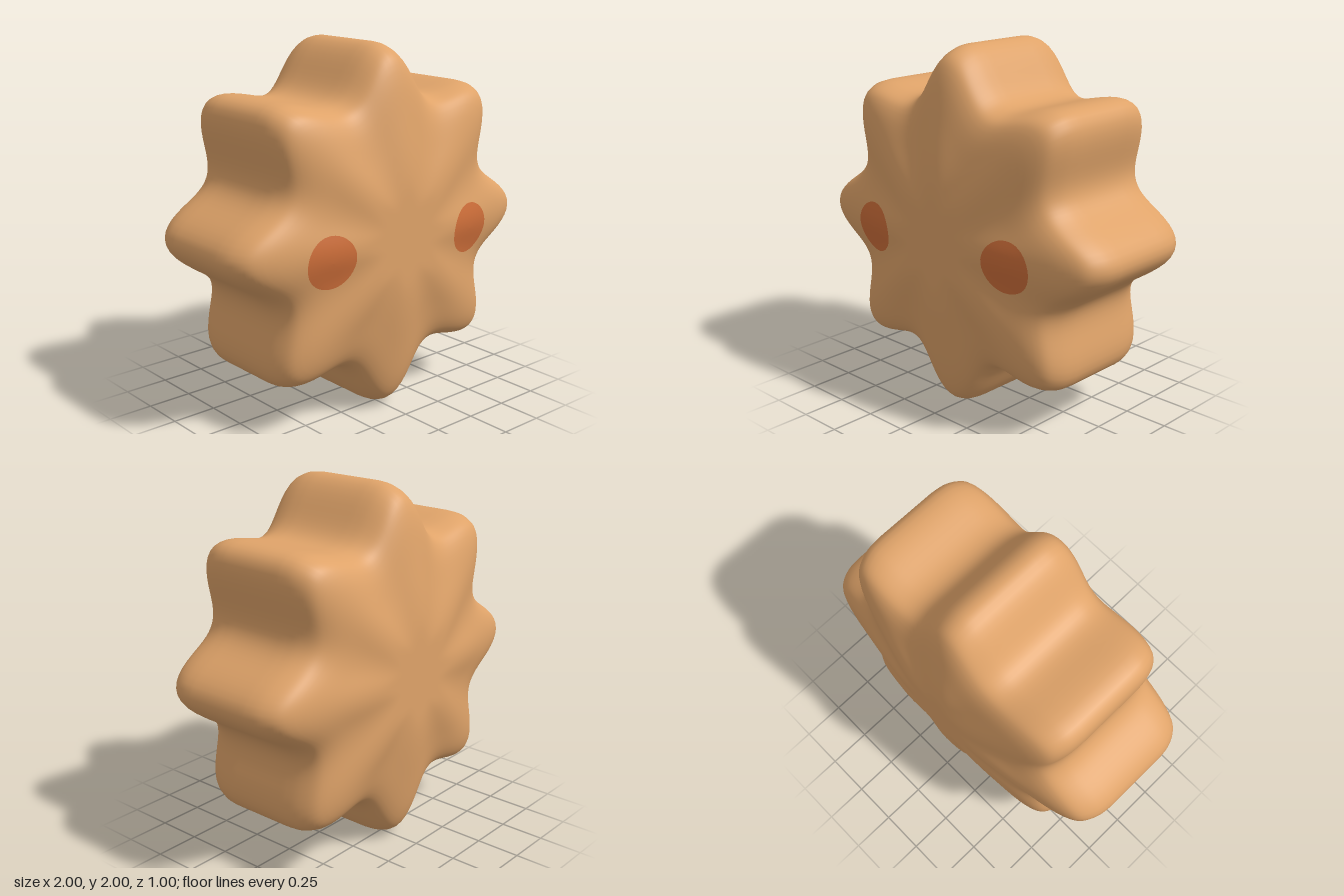
import * as THREE from 'three';

// Radius of the eight-pointed outline at an angle
const outline = (a) => 0.8775 + 0.1125 * Math.cos(8 * a) + 0.01 * Math.cos(16 * a);

// Front half of the section: x is the fraction of the outline, y is the depth
const section = new THREE.CatmullRomCurve3([
  [0, 0.5], [0.3, 0.498], [0.6, 0.457], [0.86, 0.402], [0.94, 0.358],
  [0.985, 0.28], [1, 0.18], [1, 0],
].map(([s, z]) => new THREE.Vector3(s, z, 0)), false, 'centripetal');
const half = section.getPoints(42).map((p) => [Math.min(p.x, 1), Math.min(p.y, 0.5)]);

// Depth of the front surface at a point measured from the centre
function frontDepth(x, y) {
  const s = Math.hypot(x, y) / outline(Math.atan2(y, x));
  for (let i = 1; i < half.length; i++) {
    const [s0, z0] = half[i - 1], [s1, z1] = half[i];
    if (s <= s1) return z0 + (z1 - z0) * (s - s0) / (s1 - s0 || 1);
  }
  return 0;
}

function makeGeometry(positions, index) {
  const g = new THREE.BufferGeometry();
  g.setAttribute('position', new THREE.Float32BufferAttribute(positions, 3));
  g.setIndex(index);
  g.computeVertexNormals();
  return g;
}

// Puffy star: rings of the outline swept from front centre to back centre
function starGeometry() {
  const back = half.slice(0, -1).reverse().map(([s, z]) => [s, -z]);
  const rings = [...half, ...back];
  const n = 192, positions = [], index = [];
  rings.forEach(([s, z], j) => {
    for (let i = 0; i < n; i++) {
      const a = (i / n) * Math.PI * 2, r = s * outline(a);
      positions.push(r * Math.cos(a), 1 + r * Math.sin(a), z);
      if (j === rings.length - 1) continue;
      const k = (i + 1) % n;
      const p = j * n + i, q = j * n + k;
      index.push(p, p + n, q + n, p, q + n, q);
    }
  });
  return makeGeometry(positions, index);
}

// Round patch that follows the front surface
function eyeGeometry(cx, cy, radius) {
  const n = 40, steps = 8, positions = [], index = [];
  for (let j = 0; j <= steps; j++) {
    for (let i = 0; i < n; i++) {
      const a = (i / n) * Math.PI * 2, r = radius * j / steps;
      const x = cx + r * Math.cos(a), y = cy + r * Math.sin(a);
      positions.push(x, y, frontDepth(x, y - 1) + 0.005);
      if (j === steps) continue;
      const k = (i + 1) % n;
      const p = j * n + i, q = j * n + k;
      index.push(p, p + n, q + n, p, q + n, q);
    }
  }
  return makeGeometry(positions, index);
}

export function createModel() {
  const model = new THREE.Group();
  model.name = 'star';
  const tan = new THREE.MeshStandardMaterial({ name: 'tan', color: 0xdfa369 });
  const rust = new THREE.MeshStandardMaterial({ name: 'rust', color: 0xcf6f3a });

  const body = new THREE.Mesh(starGeometry(), tan);
  body.name = 'body';
  model.add(body);

  // Cheek-like eye spots
  for (const side of [-1, 1]) {
    const eye = new THREE.Mesh(eyeGeometry(side * 0.495, 0.96, 0.142), rust);
    eye.name = side > 0 ? 'leftEye' : 'rightEye';
    model.add(eye);
  }
  return model;
}
